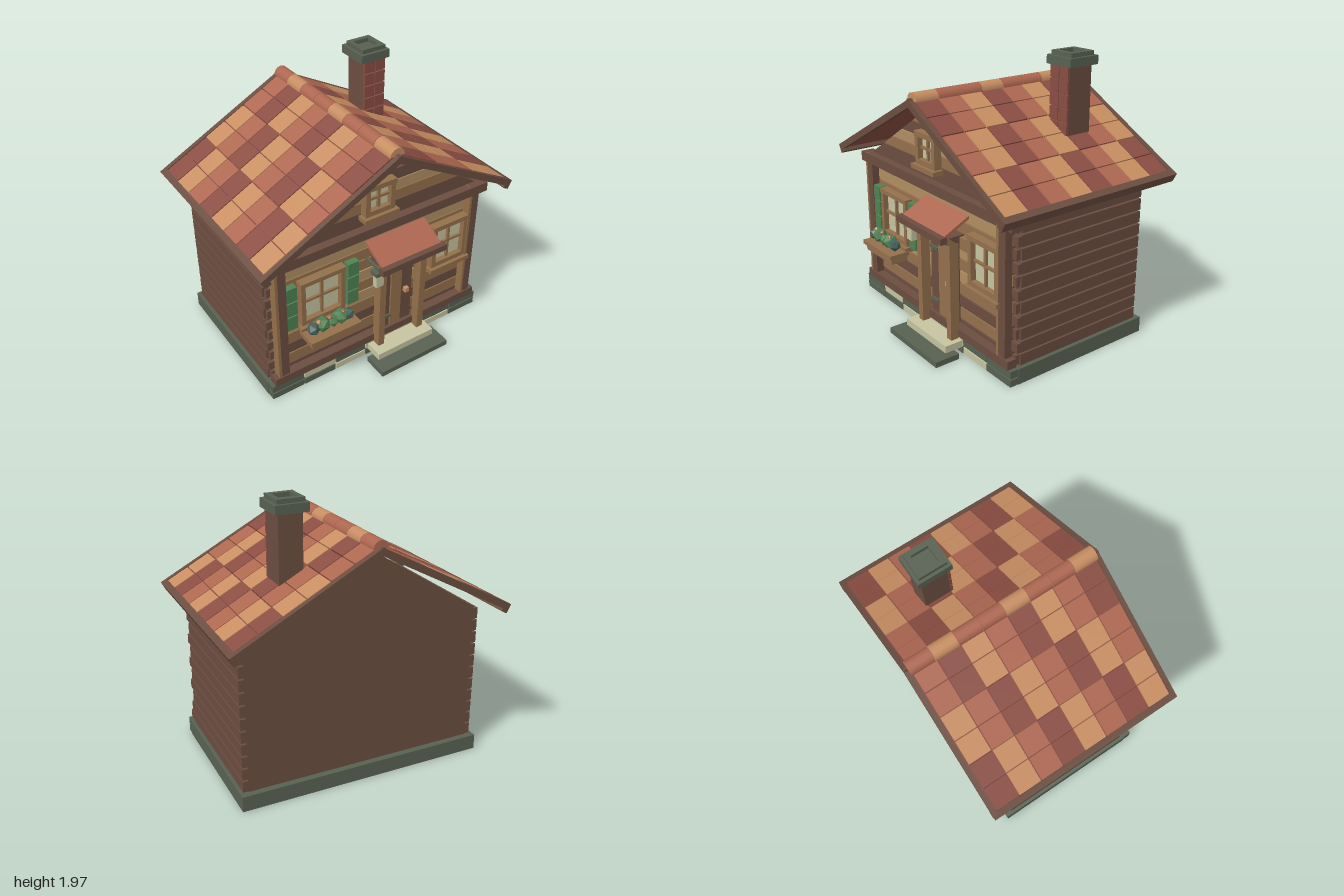
import * as THREE from 'three';

const mat = (name, color) => {
  const m = new THREE.MeshStandardMaterial({ color });
  m.name = name;
  return m;
};

export function createModel() {
  const dark = mat('dark wood', 0x6b4d40), mid = mat('mid wood', 0x94704c), tan = mat('light wood', 0xb08d62);
  const green = mat('green', 0x4f8253), deep = mat('deep green', 0x44635a), stone = mat('stone', 0x586152);
  const cream = mat('cream', 0xc6c3a0), brick = mat('brick red', 0x8a4d43), terra = mat('terracotta', 0xae6751);
  const orange = mat('orange clay', 0xc88e62);
  const house = new THREE.Group();
  house.name = 'cottage';

  const add = (name, geo, m, parent = house) => {
    const mesh = new THREE.Mesh(geo, m);
    mesh.name = name;
    parent.add(mesh);
    return mesh;
  };
  // Box given by its extents
  const box = (name, m, x0, x1, y0, y1, z0, z1, parent) => {
    const b = add(name, new THREE.BoxGeometry(x1 - x0, y1 - y0, z1 - z0), m, parent);
    b.position.set((x0 + x1) / 2, (y0 + y1) / 2, (z0 + z1) / 2);
    return b;
  };
  const group = (name, parent = house) => {
    const g = new THREE.Group();
    g.name = name;
    parent.add(g);
    return g;
  };
  // Polygon in the xy plane, extruded from z0 to z1
  const prism = (name, m, pts, z0, z1) => {
    const shape = new THREE.Shape(pts.map(p => new THREE.Vector2(p[0], p[1])));
    const geo = new THREE.ExtrudeGeometry(shape, { depth: z1 - z0, bevelEnabled: false });
    geo.translate(0, 0, z0);
    return add(name, geo, m);
  };

  // Foundation, front stones and steps
  box('foundation', stone, -0.9, 0.9, 0.01, 0.12, -0.63, 0.48);
  const upper = [stone, cream, stone, cream, cream, stone, stone];
  const lower = [stone, stone, cream, stone, stone, cream, stone];
  const cuts = [-0.9, -0.645, -0.385, -0.13, 0.13, 0.385, 0.645, 0.9];
  for (let i = 0; i < 7; i++) {
    box('foundationStone', upper[i], cuts[i] + 0.004, cuts[i + 1] - 0.004, 0.068, 0.12, 0.47, 0.54);
    box('foundationStone', lower[i], cuts[i] + 0.004, cuts[i + 1] - 0.004, 0.01, 0.058, 0.47, 0.54);
  }
  box('upperStep', cream, -0.11, 0.375, 0.055, 0.105, 0.53, 0.675);
  box('lowerStep', stone, -0.155, 0.425, 0.01, 0.05, 0.6, 0.785);

  // Body and solid gable
  box('body', dark, -0.84, 0.84, 0.12, 1.13, -0.585, 0.45);
  const halfWidth = y => 0.83 * (1.655 - y) / 0.525;
  prism('gableBody', dark, [[-0.83, 1.13], [0.83, 1.13], [0, 1.655]], -0.585, 0.45);

  // Logs on the side walls and planks on the front
  const plankColors = [dark, mid, dark, mid, tan, mid, tan, mid, mid, tan, tan];
  const pitch = 0.0905;
  plankColors.forEach((m, i) => {
    const y = 0.125 + i * pitch;
    for (const s of [-1, 1]) {
      const a = s * 0.83, b = s * 0.878;
      box('sideLog', dark, Math.min(a, b), Math.max(a, b), y, y + pitch - 0.012, -0.585, 0.445);
      const c = s * 0.82, d = s * (i % 2 ? 0.88 : 0.865);
      box('logEnd', dark, Math.min(c, d), Math.max(c, d), y + 0.006, y + pitch - 0.018, 0.445, 0.475);
    }
    box('frontPlank', m, -0.83, 0.83, y, y + pitch - 0.01, 0.44, 0.48);
  });

  // Gable planks
  const gableCuts = [1.13, 1.24, 1.32, 1.4, 1.49, 1.57, 1.654];
  [dark, mid, tan, dark, mid, tan].forEach((m, i) => {
    const y0 = gableCuts[i], y1 = gableCuts[i + 1] - (i < 5 ? 0.006 : 0);
    const a = halfWidth(y0), b = halfWidth(y1);
    prism('gablePlank', m, [[-a, y0], [a, y0], [b, y1], [-b, y1]], 0.44, 0.48);
  });

  // Front timber frame
  box('topBeam', dark, -0.9, 0.9, 1.06, 1.13, 0.44, 0.54);
  box('bottomBeam', dark, -0.87, 0.87, 0.12, 0.18, 0.47, 0.545);
  for (const s of [-1, 1]) {
    const x = s * 0.793;
    box('cornerPost', dark, x - 0.037, x + 0.037, 0.12, 1.13, 0.45, 0.535);
    box('cornerTrim', mid, x - 0.045, x - 0.025, 0.18, 1.13, 0.45, 0.54);
  }

  // Window with glass, frame, cross bars and sill
  const windowAt = (x0, x1, y0, y1, z, t) => {
    const g = group('window');
    const cx = (x0 + x1) / 2, cy = (y0 + y1) / 2;
    box('glass', cream, x0 + t, x1 - t, y0 + t, y1 - t, z, z + 0.02, g);
    box('frameSide', mid, x0, x0 + t, y0, y1, z, z + 0.06, g);
    box('frameSide', mid, x1 - t, x1, y0, y1, z, z + 0.06, g);
    box('frameTop', mid, x0 - 0.004, x1 + 0.004, y1 - t, y1, z, z + 0.065, g);
    box('frameBottom', mid, x0, x1, y0, y0 + t, z, z + 0.06, g);
    box('verticalBar', mid, cx - 0.009, cx + 0.009, y0 + t, y1 - t, z, z + 0.04, g);
    box('crossBar', mid, x0 + t, x1 - t, cy - 0.009, cy + 0.009, z, z + 0.038, g);
    box('sill', mid, x0 - 0.02, x1 + 0.02, y0 - 0.035, y0 - 0.002, z, z + 0.085, g);
  };
  windowAt(-0.645, -0.305, 0.55, 0.905, 0.475, 0.032);
  windowAt(0.44, 0.755, 0.55, 0.905, 0.475, 0.036);
  windowAt(-0.15, 0.083, 1.228, 1.455, 0.475, 0.036);
  for (const s of [-1, 1]) {
    const trim = box('gableTrim', dark, -0.032, 0.032, -0.006, 0.006, -0.005, 0.005);
    trim.position.set(-0.033 + s * 0.027, 1.525, 0.485);
    trim.rotation.z = -s * 0.6;
  }

  // Shutters
  for (const x of [-0.717, -0.237]) {
    box('shutterBack', deep, x - 0.04, x + 0.04, 0.56, 0.895, 0.475, 0.51);
    for (let i = 0; i < 3; i++) {
      const y = 0.555 + i * 0.118;
      box('shutterPanel', green, x - 0.043, x + 0.043, y, y + 0.108, 0.48, 0.53);
    }
  }

  // Flower box
  box('planter', mid, -0.65, -0.295, 0.45, 0.51, 0.54, 0.67);
  box('planterRim', mid, -0.668, -0.278, 0.495, 0.525, 0.535, 0.69);
  [-0.61, -0.54, -0.46, -0.395, -0.34].forEach((x, i) => {
    const bush = add('bush', new THREE.IcosahedronGeometry(i % 2 ? 0.056 : 0.047, 0), i % 4 ? green : deep);
    bush.material.flatShading = true;
    bush.position.set(x, 0.575 + (i % 2) * 0.008, 0.615);
    bush.rotation.set(i, i * 0.7, 0);
  });
  for (const x of [-0.575, -0.49, -0.385]) {
    add('flower', new THREE.IcosahedronGeometry(0.018, 0), x < -0.5 ? orange : terra).position.set(x, 0.622, 0.625);
  }

  // Door
  [dark, mid, dark].forEach((m, i) => {
    box('doorPlank', m, -0.005 + i * 0.095, 0.085 + i * 0.095, 0.17, 0.77, 0.475, 0.52 + (i === 1 ? 0.006 : 0));
  });
  for (const y of [0.265, 0.66]) box('hinge', stone, 0, 0.09, y, y + 0.022, 0.51, 0.535);
  box('doorHandle', orange, 0.2, 0.232, 0.445, 0.482, 0.51, 0.55);

  // Porch posts, beams, braces and roof
  for (const x of [-0.06, 0.285]) {
    box('porchPost', mid, x, x + 0.05, 0.105, 0.8, 0.53, 0.6);
    const brace = box('porchBrace', mid, x, x + 0.05, -0.02, 0.02, -0.07, 0.07);
    brace.position.set(x + 0.025, 0.835, 0.615);
    brace.rotation.x = -0.7;
  }
  box('doorHeader', dark, -0.055, 0.33, 0.79, 0.85, 0.475, 0.6);
  box('porchBeam', dark, -0.13, 0.405, 0.855, 0.9, 0.665, 0.715);
  box('wallBracket', mid, 0.35, 0.44, 0.765, 0.85, 0.475, 0.53);
  const porchRoof = box('porchRoof', terra, -0.11, 0.385, -0.01, 0.01, -0.13, 0.13);
  porchRoof.position.set(0.1375, 0.935, 0.58);
  porchRoof.rotation.x = 0.46;

  // Lantern
  box('lanternArm', stone, -0.105, -0.085, 0.835, 0.85, 0.475, 0.63);
  box('lanternCap', stone, -0.138, -0.055, 0.805, 0.835, 0.585, 0.65);
  box('lanternGlass', cream, -0.125, -0.065, 0.705, 0.805, 0.597, 0.638);

  // Roof slopes with checkered tiles, rake boards and eaves
  const clay = [brick, orange, terra];
  const angle = 0.487, depth = 0.173;
  for (const s of [-1, 1]) {
    const slope = group('roofSlope');
    slope.position.y = 1.71;
    slope.rotation.z = -s * angle;
    const part = (name, m, a, b, y0, y1, z0, z1) =>
      box(name, m, Math.min(s * a, s * b), Math.max(s * a, s * b), y0, y1, z0, z1, slope);
    part('roofDeck', brick, 0, 1.09, -0.04, -0.014, -0.76, 0.645);
    part('rakeBoard', dark, -0.01, 1.11, -0.046, 0, 0.64, 0.672);
    part('rakeBoard', dark, -0.01, 1.11, -0.046, 0, -0.788, -0.752);
    part('eaveBoard', dark, 1.08, 1.128, -0.068, 0, -0.788, 0.672);
    for (let r = 0; r < 8; r++) {
      for (let c = 0; c < 6; c++) {
        const x = 1.083 - c * 0.179, z = -0.748 + r * depth;
        part('roofTile', clay[(r + (c >> 1)) % 3], Math.max(x - 0.171, 0), x, -0.03, (c >> 1) * 0.002 - 0.002,
          z + 0.003, z + depth - 0.005);
      }
    }
  }
  for (let r = 0; r < 8; r++) {
    const geo = new THREE.CylinderGeometry(0.056, 0.056, 0.172, 6, 1, false, Math.PI / 2, Math.PI);
    geo.rotateX(Math.PI / 2);
    add('ridgeTile', geo, r % 3 === 1 ? orange : terra).position.set(0, 1.697, -0.675 + r * 0.1755);
  }

  // Chimney with brick facing and stone cap
  box('chimney', dark, 0.36, 0.525, 1.25, 1.9, -0.42, -0.225);
  for (let i = 0; i < 7; i++) {
    const y = 1.25 + i * 0.093;
    for (const x of [0.356, 0.444]) box('chimneyBrick', brick, x, x + 0.082, y, y + 0.084, -0.23, -0.212);
  }
  box('chimneyCap', stone, 0.325, 0.555, 1.89, 1.95, -0.45, -0.205);
  const rim = new THREE.Shape([[-0.095, -0.1], [0.095, -0.1], [0.095, 0.1], [-0.095, 0.1]].map(p => new THREE.Vector2(...p)));
  rim.holes.push(new THREE.Path([[-0.062, -0.062], [-0.062, 0.062], [0.062, 0.062], [0.062, -0.062]].map(p => new THREE.Vector2(...p))));
  const rimGeo = new THREE.ExtrudeGeometry(rim, { depth: 0.03, bevelEnabled: false });
  rimGeo.rotateX(-Math.PI / 2);
  add('chimneyRim', rimGeo, stone).position.set(0.44, 1.95, -0.328);

  return house;
}
